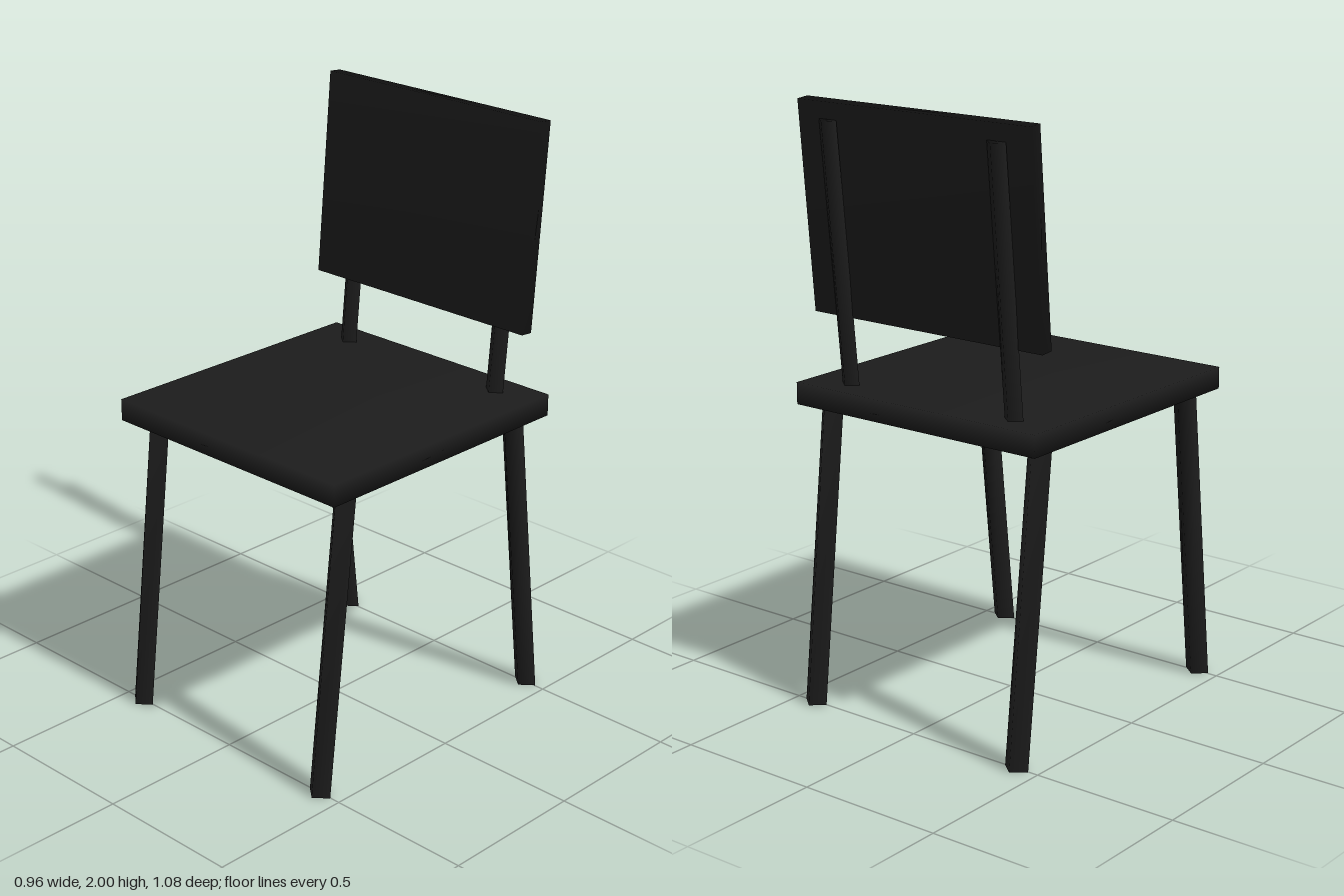
import * as THREE from 'three';
import { mergeVertices } from 'three/addons/utils/BufferGeometryUtils.js';

// Box with shared corners, so its shading rolls softly over the edges
function softBox(w, h, d) {
  const box = new THREE.BoxGeometry(w, h, d);
  box.deleteAttribute('normal');
  box.deleteAttribute('uv');
  const geo = mergeVertices(box);
  geo.computeVertexNormals();
  return geo;
}

// Diamond-section bar lying in a plane of constant x.
// Each ring is [outer z, outer y, inner z, inner y]; the side corners sit midway.
function diamondBar(rings, halfWidth) {
  const pos = [];
  const index = [];
  for (const [oz, oy, iz, iy] of rings) {
    const mz = (oz + iz) / 2, my = (oy + iy) / 2;
    pos.push(0, oy, oz, halfWidth, my, mz, 0, iy, iz, -halfWidth, my, mz);
  }
  for (let r = 0; r < rings.length - 1; r++) {
    for (let j = 0; j < 4; j++) {
      const a = r * 4 + j, b = r * 4 + (j + 1) % 4;
      index.push(a, b, b + 4, a, b + 4, a + 4);
    }
  }
  const e = (rings.length - 1) * 4;
  index.push(0, 2, 1, 0, 3, 2, e, e + 1, e + 2, e, e + 2, e + 3); // end caps
  const geo = new THREE.BufferGeometry();
  geo.setAttribute('position', new THREE.Float32BufferAttribute(pos, 3));
  geo.setIndex(index);
  geo.computeVertexNormals();
  return geo;
}

export function createModel() {
  const chair = new THREE.Group();
  chair.name = 'chair';
  const black = new THREE.MeshStandardMaterial({ color: 0x1c1c1c });
  black.name = 'black';

  const add = (name, geo, x, y, z) => {
    const mesh = new THREE.Mesh(geo, black);
    mesh.name = name;
    mesh.position.set(x, y, z);
    chair.add(mesh);
    return mesh;
  };

  // Seat slab
  add('seat', softBox(0.96, 0.073, 0.994), 0, 1.0485, 0.003);

  // Backrest panel, leaning back
  const backrest = add('backrest', softBox(0.91, 0.689, 0.045), 0, 1.655, -0.432);
  backrest.rotation.x = -0.087;

  // One bent frame per side: front leg, rail under the seat, back leg
  const legFrame = diamondBar([
    [0.54, 0, 0.465, 0],
    [0.425, 1.06, 0.35, 0.985],
    [-0.425, 1.06, -0.35, 0.985],
    [-0.54, 0, -0.465, 0],
  ], 0.045);

  // Post rising from the seat behind the backrest
  const post = diamondBar([
    [-0.368, 1.05, -0.427, 1.05],
    [-0.455, 1.943, -0.515, 1.94],
  ], 0.036);

  for (const [side, s] of [['left', 1], ['right', -1]]) {
    add(side + 'LegFrame', legFrame, s * 0.42, 0, 0);
    add(side + 'BackPost', post, s * 0.33, 0, 0);
  }
  return chair;
}
